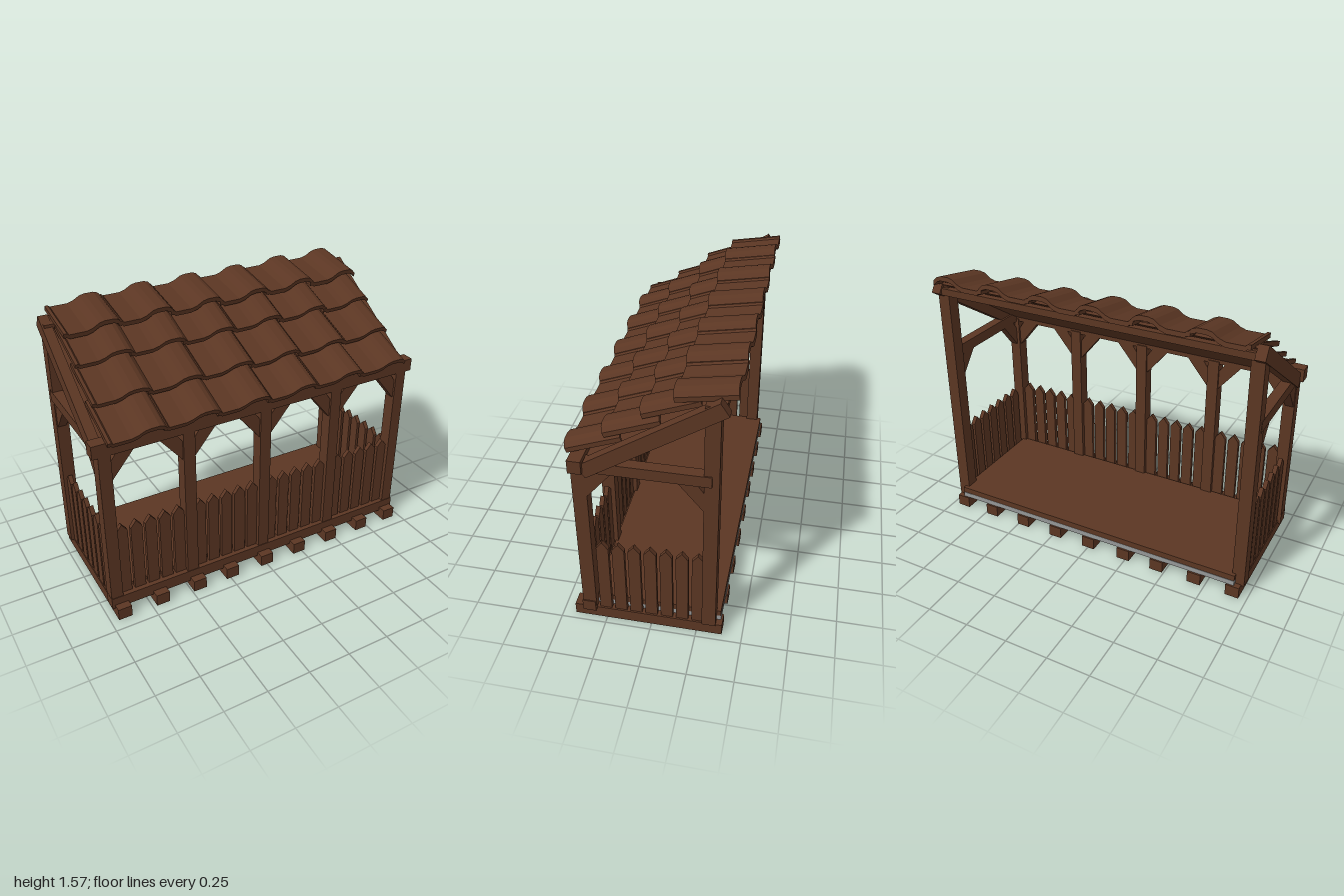
import * as THREE from 'three';

const wood = new THREE.MeshStandardMaterial({ color: 0x5b3623 });
wood.name = 'dark brown wood';
const grey = new THREE.MeshStandardMaterial({ color: 0x969898 });
grey.name = 'grey slab';

export function createModel() {
  const model = new THREE.Group();

  const add = (name, geometry, material = wood) => {
    const mesh = new THREE.Mesh(geometry, material);
    mesh.name = name;
    model.add(mesh);
    return mesh;
  };
  // Box given by its limits on each axis
  const box = (name, x0, x1, y0, y1, z0, z1, material) => {
    const mesh = add(name, new THREE.BoxGeometry(x1 - x0, y1 - y0, z1 - z0), material);
    mesh.position.set((x0 + x1) / 2, (y0 + y1) / 2, (z0 + z1) / 2);
    return mesh;
  };
  // Flat outline with a thickness, centred on z = 0
  const plate = (points, depth) => {
    const shape = new THREE.Shape(points.map(([x, y]) => new THREE.Vector2(x, y)));
    return new THREE.ExtrudeGeometry(shape, { depth, bevelEnabled: false }).translate(0, 0, -depth / 2);
  };

  // Base: sleepers, slab, floor and front sill
  [-0.915, -0.685, -0.45, -0.235, 0, 0.23, 0.465, 0.7, 0.92].forEach((x) =>
    box('sleeper', x - 0.04, x + 0.04, 0, 0.07, -0.39, 0.43));
  box('slab', -0.92, 0.92, 0.07, 0.1, -0.38, 0.32, grey);
  box('floor', -0.92, 0.92, 0.1, 0.135, -0.378, 0.32);
  box('frontSill', -0.97, 0.97, 0.047, 0.117, 0.31, 0.383);

  // Posts and front beam
  const postX = [-0.935, -0.468, 0, 0.465, 0.93];
  postX.forEach((x) => box('frontPost', x - 0.034, x + 0.034, 0.06, 1.05, 0.305, 0.38));
  [-0.935, 0.93].forEach((x) => box('backPost', x - 0.036, x + 0.036, 0.065, 1.49, -0.355, -0.28));
  box('frontBeam', -1, 1, 1.035, 1.11, 0.312, 0.382);

  // Diagonal braces
  const brace = (side) => plate(
    [[0, 0.87], [side * 0.135, 1.035], [side * 0.035, 1.035], [0, 0.985]], 0.05);
  postX.forEach((x, i) => [-1, 1].forEach((side) => {
    if ((i === 0 && side < 0) || (i === 4 && side > 0)) return;
    add('frontBrace', brace(side)).position.set(x + side * 0.033, 0, 0.343);
  }));

  // Side frames: tie, braces, rafter and pickets
  const slope = 0.577;
  const picket = (y0, y1) => plate(
    [[-0.033, y0], [0.033, y0], [0.033, y1 - 0.042], [0, y1], [-0.033, y1 - 0.042]], 0.025);
  [-1, 1].forEach((s) => {
    const tie = box('sideTie', -0.03, 0.03, 1.03, 1.093, -0.32, 0.31);
    tie.position.x = s * 0.943;
    [[0.306, -1], [-0.281, 1]].forEach(([z, side]) =>
      add('sideBrace', brace(side).rotateY(-Math.PI / 2)).position.set(s * 0.94, 0, z));
    const rafter = add('rafter', new THREE.BoxGeometry(0.055, 0.08, 0.828));
    rafter.position.set(s * 0.953, 1.26, -0.025);
    rafter.rotation.x = slope;
    for (let i = 0; i < 7; i++) {
      add('sidePicket', picket(0.065, 0.55).rotateY(Math.PI / 2))
        .position.set(s * 0.938, 0, 0.255 - i * 0.085);
    }
  });

  // Front pickets, five in each bay
  for (let bay = 0; bay < 4; bay++) {
    const middle = (postX[bay] + postX[bay + 1]) / 2;
    for (let i = -2; i <= 2; i++) {
      add('frontPicket', picket(0.1, 0.572)).position.set(middle + i * 0.084, 0, 0.343);
    }
  }

  // Roof board and back purlin
  const board = add('roofBoard', new THREE.BoxGeometry(1.86, 0.015, 0.82));
  board.position.set(0, 1.281, -0.012);
  board.rotation.x = slope;
  box('backPurlin', -0.93, 0.93, 1.44, 1.48, -0.375, -0.335);

  // Roof tile: a shallow pan followed by a raised roll
  const top = [[0, 0.036], [0.018, 0.036], [0.028, 0.026], [0.125, 0.026], [0.16, 0.037],
    [0.195, 0.06], [0.225, 0.067], [0.275, 0.067], [0.3, 0.058], [0.322, 0.036]];
  const under = top.map(([x, y]) => [x, Math.max(0, y - 0.026)]).reverse();
  const tileLength = 0.3;
  const courses = [
    { y: 1.087, z: 0.4, tilt: 0.36 },
    { y: 1.207, z: 0.205, tilt: 0.36 },
    { y: 1.342, z: 0.015, tilt: 0.36 },
    { y: 1.452, z: -0.135, tilt: 0.17 },
  ];
  courses.forEach(({ y, z, tilt }, row) => {
    for (let i = 0; i < 6; i++) {
      const tile = add('roofTile', plate([...top, ...under], tileLength).translate(0, 0, -tileLength / 2));
      tile.position.set(-0.922 + i * 0.305 + (row % 2) * 0.006, y + ((i * 2 + row) % 3) * 0.003, z);
      tile.rotation.x = tilt;
    }
  });

  return model;
}
